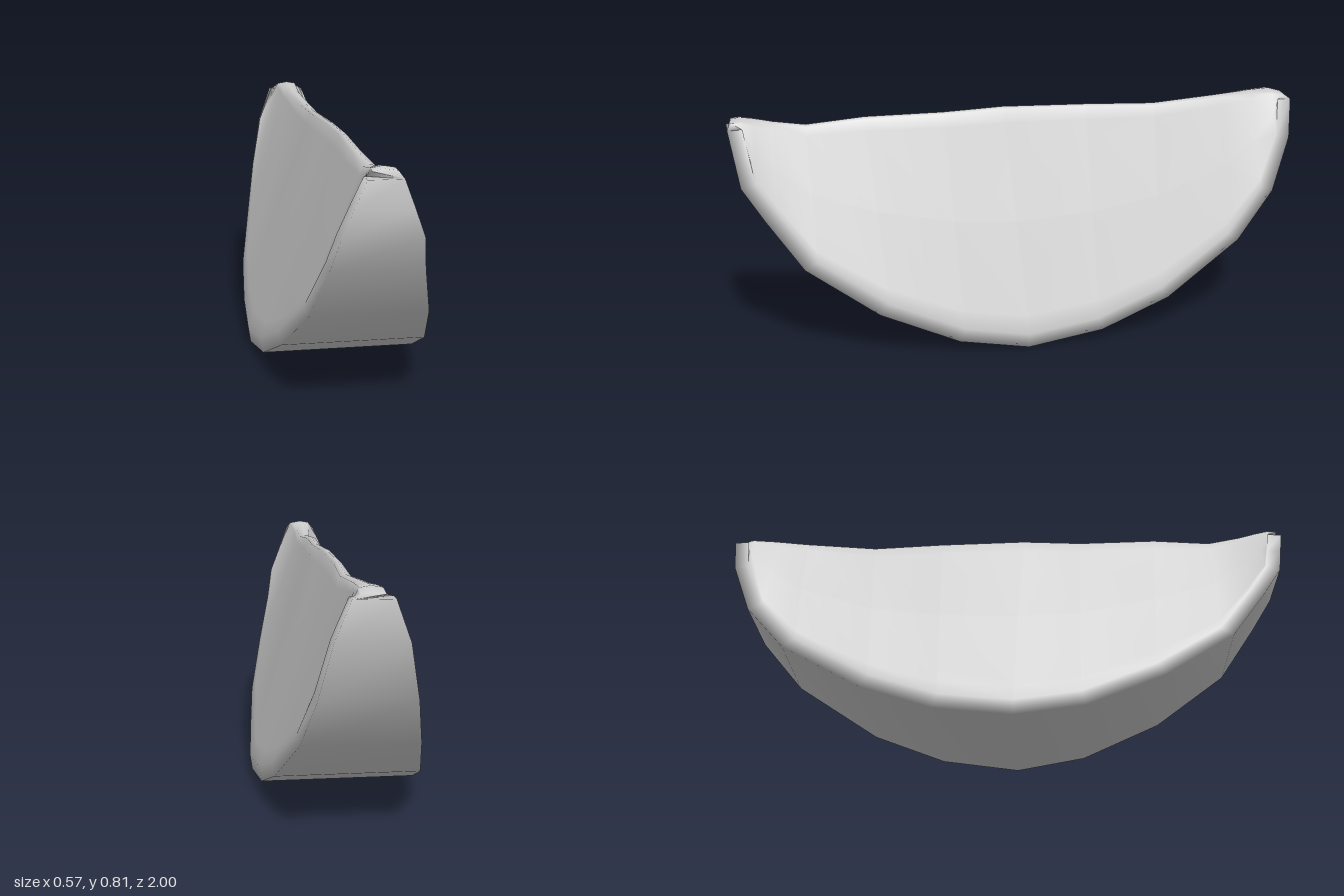
import * as THREE from 'three';

// Stations along the rind, front to back:
// [rind z, rind y, half width, ridge z, ridge y, ridge half width, ridge x]
const STATIONS = [
  [1.00, 0.78, 0.055, 0.985, 0.808, 0.038, 0],
  [0.985, 0.69, 0.092, 0.955, 0.812, 0.035, 0],
  [0.97, 0.60, 0.127, 0.91, 0.805, 0.03, 0],
  [0.90, 0.49, 0.148, 0.85, 0.792, 0.024, 0],
  [0.78, 0.32, 0.192, 0.74, 0.776, 0.02, 0.005],
  [0.54, 0.155, 0.242, 0.54, 0.79, 0.016, 0],
  [0.27, 0.04, 0.267, 0.27, 0.793, 0.014, 0.012],
  [0.03, 0.002, 0.284, 0.06, 0.799, 0.014, 0.004],
  [-0.24, 0.035, 0.27, -0.24, 0.79, 0.014, 0],
  [-0.49, 0.125, 0.247, -0.49, 0.782, 0.018, 0.01],
  [-0.77, 0.30, 0.192, -0.74, 0.797, 0.022, 0],
  [-0.91, 0.465, 0.155, -0.86, 0.807, 0.03, 0],
  [-0.98, 0.65, 0.115, -0.94, 0.811, 0.035, 0],
  [-1.00, 0.78, 0.065, -0.985, 0.798, 0.038, 0],
];

// Closed cross-section: flat rind, narrow rim, sloping cut faces, blunt ridge
function section([z, y, w, rz, ry, rw, rx]) {
  const len = Math.hypot(z, 0.8 - y);
  const qz = z - (z / len) * 0.05;
  const qy = y + ((0.8 - y) / len) * 0.05;
  const half = (s) => {
    const rim = new THREE.Vector3(s * w, qy, qz);
    const ridge = new THREE.Vector3(rx + s * rw, ry - 0.006, rz);
    return [
      new THREE.Vector3(s * w * 0.975, y, z),
      rim,
      rim.clone().lerp(ridge, 0.08),
      rim.clone().lerp(ridge, 0.5),
      rim.clone().lerp(ridge, 0.94),
      ridge,
    ];
  };
  const crest = new THREE.Vector3(rx, ry, rz);
  return [...half(1), crest, ...half(-1).reverse()];
}

// Skin the cross-sections and close both tips
function loft(rings) {
  const n = rings[0].length;
  const last = (rings.length - 1) * n;
  const index = [];
  for (let i = 0; i < rings.length - 1; i++) {
    for (let j = 0; j < n; j++) {
      const a = i * n + j;
      const b = i * n + ((j + 1) % n);
      index.push(a, a + n, b, b, a + n, b + n);
    }
  }
  for (let j = 1; j < n - 1; j++) {
    index.push(0, j, j + 1, last, last + j + 1, last + j);
  }
  const geometry = new THREE.BufferGeometry().setFromPoints(rings.flat());
  geometry.setIndex(index);
  geometry.computeVertexNormals();
  return geometry;
}

export function createModel() {
  const group = new THREE.Group();
  group.name = 'fruitWedge';
  const material = new THREE.MeshStandardMaterial({ color: 0xcccccc });
  const wedge = new THREE.Mesh(loft(STATIONS.map(section)), material);
  wedge.name = 'wedge';
  group.add(wedge);
  return group;
}
